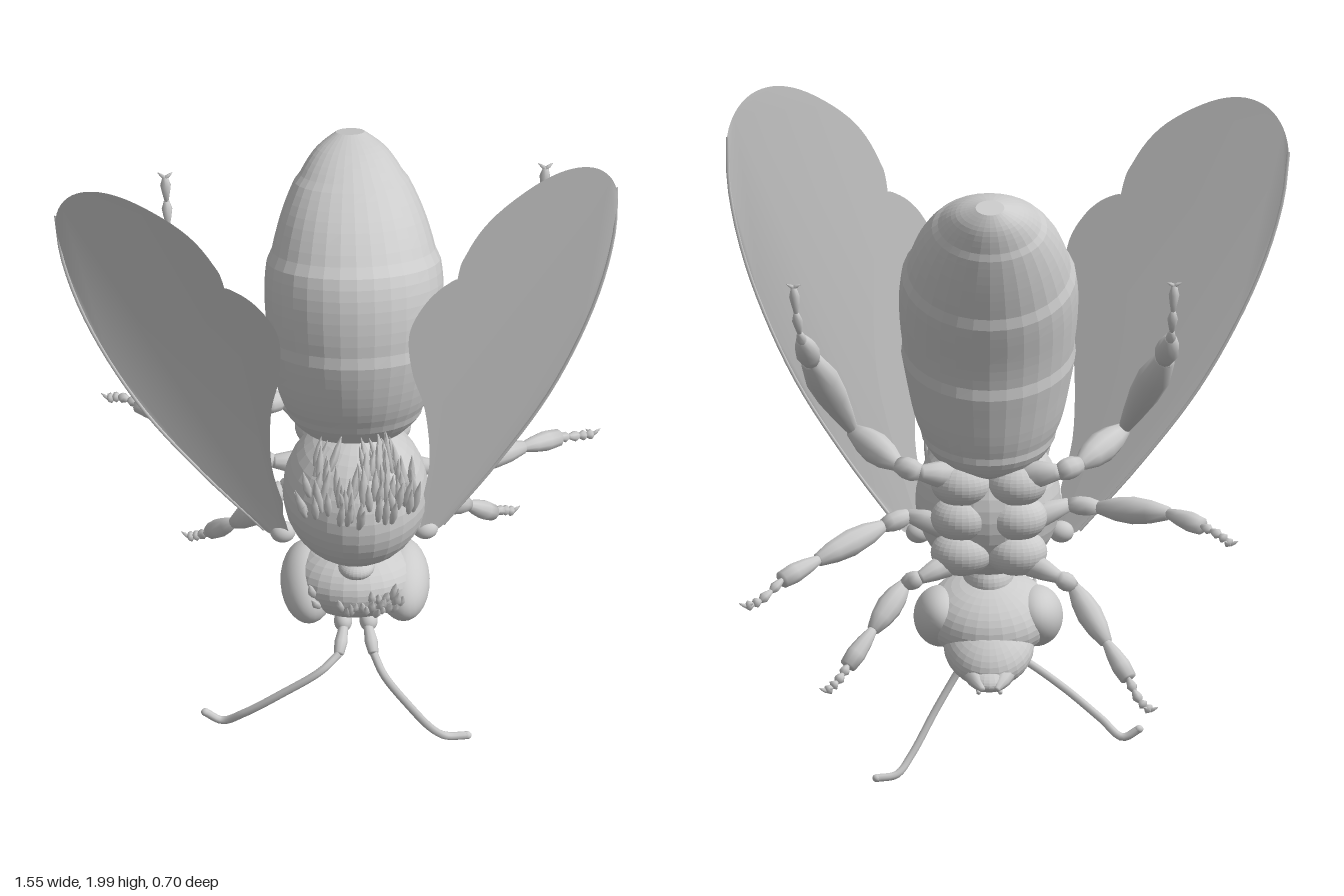
import * as THREE from 'three';

const V = (x, y, z) => new THREE.Vector3(x, y, z);
const CX = 0.06; // body midline
const mat = new THREE.MeshStandardMaterial({ color: 0xcccccc, flatShading: true });
const smooth = new THREE.MeshStandardMaterial({ color: 0xcccccc });
const thin = new THREE.MeshStandardMaterial({ color: 0xcccccc, side: THREE.DoubleSide });

function add(parent, name, geometry, material = mat) {
  const m = new THREE.Mesh(geometry, material);
  m.name = name;
  parent.add(m);
  return m;
}

function ellipsoid(parent, name, c, r, tilt = 0, material = mat) {
  const m = add(parent, name, new THREE.SphereGeometry(1, 28, 20), material);
  m.position.set(...c);
  m.scale.set(...r);
  m.rotation.x = tilt;
  return m;
}

// Closed skin over tilted rings; each ring is [front z, front y, back z, back y, half width]
function loft(rings, steps, sides, swell) {
  const front = new THREE.CatmullRomCurve3(rings.map(r => V(r[4], r[1], r[0])));
  const back = new THREE.CatmullRomCurve3(rings.map(r => V(r[4], r[3], r[2])));
  const pos = [], idx = [];
  for (let i = 0; i <= steps; i++) {
    const u = i / steps, f = front.getPoint(u), b = back.getPoint(u), k = swell(u);
    for (let j = 0; j < sides; j++) {
      const a = (j / sides) * Math.PI * 2, c = Math.cos(a) * k / 2;
      pos.push(CX + Math.sin(a) * f.x * k, (f.y + b.y) / 2 + c * (f.y - b.y), (f.z + b.z) / 2 + c * (f.z - b.z));
      if (i < steps) {
        const p = i * sides + j, q = i * sides + (j + 1) % sides;
        idx.push(p, q, q + sides, p, q + sides, p + sides);
      }
    }
  }
  // end caps
  for (let j = 1; j < sides - 1; j++) {
    const t = steps * sides;
    idx.push(0, j + 1, j, t, t + j, t + j + 1);
  }
  const g = new THREE.BufferGeometry();
  g.setAttribute('position', new THREE.Float32BufferAttribute(pos, 3));
  g.setIndex(idx);
  g.computeVertexNormals();
  return g;
}

// Spindle between two points, with radii along its length
function spindle(parent, name, a, b, radii, sides = 10) {
  const len = a.distanceTo(b), n = radii.length - 1;
  const pts = [new THREE.Vector2(0, 0), ...radii.map((r, i) => new THREE.Vector2(r, len * i / n)), new THREE.Vector2(0, len)];
  const m = add(parent, name, new THREE.LatheGeometry(pts, sides), smooth);
  m.position.copy(a);
  m.quaternion.setFromUnitVectors(V(0, 1, 0), b.clone().sub(a).normalize());
  return m;
}

// Leg through joints: coxa, trochanter, femur, tibia, then beaded foot with claws
function leg(parent, name, joints, thick) {
  const g = new THREE.Group();
  g.name = name;
  parent.add(g);
  const p = joints.map(j => V(...j));
  const profiles = [[0.7, 1, 0.8, 0.5], [0.5, 0.7, 0.7, 0.5], [0.45, 0.85, 1, 0.85, 0.5], [0.35, 0.6, 0.75, 0.65]];
  profiles.forEach((r, i) => spindle(g, ['coxa', 'trochanter', 'femur', 'tibia'][i], p[i], p[i + 1], r.map(k => k * thick)));
  const foot = new THREE.CatmullRomCurve3(p.slice(4));
  for (let i = 0; i < 4; i++) {
    spindle(g, 'footJoint', foot.getPoint(i / 4), foot.getPoint((i + 1) / 4), [0.006, 0.011, 0.015, 0.008], 7);
  }
  const end = p[p.length - 1];
  for (const s of [-1, 1]) spindle(g, 'claw', end, end.clone().add(V(s * 0.02, 0.012, -0.008)), [0.006, 0.005, 0.001], 5);
}

function outline(points) {
  const s = new THREE.Shape();
  s.moveTo(...points[0]);
  s.splineThru(points.slice(1).map(p => new THREE.Vector2(...p)));
  return s;
}

// Wing pair on one side; the trailing edge sweeps forward
const FORE = [[0.23, 0.72], [0.30, 0.74], [0.45, 0.95], [0.60, 1.20], [0.72, 1.50], [0.77, 1.73], [0.775, 1.88], [0.73, 1.97],
  [0.65, 2.0], [0.55, 1.97], [0.43, 1.88], [0.36, 1.77], [0.33, 1.65], [0.29, 1.2], [0.25, 0.85]];
const HIND = [[0.25, 0.74], [0.36, 1.15], [0.37, 1.5], [0.35, 1.66], [0.30, 1.66], [0.24, 1.60], [0.20, 1.50], [0.21, 1.35],
  [0.245, 1.20], [0.26, 1.0], [0.24, 0.85]];
function wing(parent, side) {
  const g = new THREE.Group();
  g.name = side > 0 ? 'leftWing' : 'rightWing';
  for (const [name, pts, lift] of [['forewing', FORE, 0], ['hindwing', HIND, -0.003]]) {
    const geo = new THREE.ShapeGeometry(outline(pts), 5);
    const p = geo.attributes.position;
    for (let i = 0; i < p.count; i++) {
      const x = p.getX(i) - 0.25, y = p.getY(i) - 0.72;
      const d = Math.max(0, -0.914 * (x - 0.05) + 0.405 * y);
      p.setXYZ(i, x, y, 0.135 + 0.38 * d + lift);
    }
    geo.computeVertexNormals();
    add(g, name, geo, thin);
  }
  // thick leading vein and hinge
  const vein = FORE.slice(1, 7).map(([x, y]) => V(x - 0.25, y - 0.72, 0.135));
  add(g, 'leadingVein', new THREE.TubeGeometry(new THREE.CatmullRomCurve3(vein), 24, 0.005, 6), smooth);
  ellipsoid(g, 'wingHinge', [0, 0.01, 0.14], [0.035, 0.03, 0.03], 0, smooth);
  const mirror = new THREE.Group();
  mirror.add(g);
  mirror.scale.x = side;
  if (side < 0) g.rotation.z = -0.088;
  mirror.position.set(side > 0 ? 0.25 : -0.14, 0.72, 0);
  parent.add(mirror);
}

// Overlapping flattened tufts on a rounded surface
function fur(parent, name, count, c, r, place, length) {
  let seed = 7;
  const rnd = () => (seed = (seed * 16807) % 2147483647) / 2147483647;
  for (let i = 0; i < count; i++) {
    const [a, e] = place(rnd(), rnd());
    const n = V(Math.sin(a) * Math.cos(e), Math.sin(e), Math.cos(a) * Math.cos(e));
    const root = V(c[0] + n.x * r[0], c[1] + n.y * r[1], c[2] + n.z * r[2]);
    const up = V(-Math.sin(a) * Math.sin(e), Math.cos(e), -Math.cos(a) * Math.sin(e));
    const tip = root.clone().addScaledVector(up, length * (0.7 + 0.5 * rnd())).addScaledVector(n, length * 0.35);
    tip.x += (rnd() - 0.5) * length * 0.4;
    spindle(parent, name, root, tip, [0.006, 0.012, 0.009, 0.001], 5);
  }
}

export function createModel() {
  const bee = new THREE.Group();
  bee.name = 'bee';

  // Abdomen with stepped plates
  const rings = [[0.12, 0.99, -0.07, 0.95, 0.09], [0.16, 1.04, -0.12, 0.98, 0.15], [0.22, 1.15, -0.15, 1.05, 0.2],
    [0.25, 1.3, -0.175, 1.17, 0.228], [0.245, 1.46, -0.2, 1.3, 0.245], [0.2, 1.6, -0.235, 1.42, 0.24],
    [0.1, 1.7, -0.268, 1.55, 0.205], [-0.02, 1.765, -0.288, 1.66, 0.155], [-0.13, 1.8, -0.295, 1.74, 0.1], [-0.22, 1.813, -0.283, 1.79, 0.04]];
  add(bee, 'abdomen', loft(rings, 40, 32, u => 0.985 + 0.035 * ((u * 5) % 1)));

  // Thorax, neck and underside plates
  const T = [CX, 0.84, 0.1], TR = [0.2, 0.21, 0.22];
  ellipsoid(bee, 'thorax', T, TR);
  ellipsoid(bee, 'waist', [CX, 1.01, 0.03], [0.12, 0.09, 0.11]);
  ellipsoid(bee, 'neck', [CX, 0.62, 0.08], [0.07, 0.07, 0.09]);
  ellipsoid(bee, 'collar', [CX, 0.62, 0.16], [0.05, 0.03, 0.05]);
  for (const s of [-1, 1]) {
    for (const y of [0.74, 0.84, 0.94]) ellipsoid(bee, 'breastPlate', [CX + s * 0.075, y, -0.06], [0.085, 0.065, 0.075]);
  }
  fur(bee, 'thoraxFur', 75, T, TR, (a, b) => [(a - 0.5) * 1.9, 0.1 + b * 0.75], 0.1);

  // Head, face and eyes
  const H = [CX, 0.52, 0.06], HR = [0.175, 0.11, 0.17];
  ellipsoid(bee, 'head', H, HR, -0.25);
  ellipsoid(bee, 'face', [CX, 0.46, -0.02], [0.125, 0.08, 0.15], -0.45);
  ellipsoid(bee, 'muzzle', [CX, 0.405, -0.07], [0.075, 0.04, 0.12], -0.15);
  for (const s of [-1, 1]) {
    ellipsoid(bee, 'eye', [CX + s * 0.13, 0.51, 0.075], [0.075, 0.085, 0.13], 0.3, smooth);
    ellipsoid(bee, 'antennaSocket', [CX + s * 0.035, 0.405, 0.12], [0.025, 0.03, 0.03], 0, smooth);
    spindle(bee, 'mandible', V(CX + s * 0.06, 0.42, -0.08), V(CX + s * 0.02, 0.385, -0.19), [0.02, 0.027, 0.022, 0.008]);
    spindle(bee, 'palp', V(CX + s * 0.02, 0.39, -0.06), V(CX + s * 0.03, 0.365, -0.16), [0.012, 0.014, 0.006], 7);
  }
  fur(bee, 'headFur', 26, H, HR, (a, b) => [(a - 0.5) * 1.5, -0.3 + b * 0.5], 0.05);

  // Antennae: a short stalk, then a long bent whip
  const antennae = [
    [[0.09, 0.41, 0.12], [0.105, 0.36, 0.21], [0.13, 0.31, 0.24], [0.2, 0.19, 0.225], [0.27, 0.07, 0.18], [0.31, 0.025, 0.15], [0.365, 0.018, 0.14]],
    [[0.03, 0.41, 0.12], [0.01, 0.36, 0.21], [-0.04, 0.325, 0.24], [-0.15, 0.245, 0.235], [-0.25, 0.165, 0.21], [-0.31, 0.12, 0.18], [-0.355, 0.145, 0.175]]];
  for (const path of antennae) {
    const p = path.map(q => V(...q));
    spindle(bee, 'antennaStalk', p[0], p[1], [0.012, 0.014, 0.018, 0.014]);
    add(bee, 'antenna', new THREE.TubeGeometry(new THREE.CatmullRomCurve3(p.slice(1)), 40, 0.011, 8), smooth);
    ellipsoid(bee, 'antennaTip', path[6], [0.012, 0.011, 0.011], 0, smooth);
  }

  wing(bee, 1);
  wing(bee, -1);

  // Legs
  leg(bee, 'leftFrontLeg', [[0.14, 0.72, -0.05], [0.25, 0.69, -0.13], [0.29, 0.66, -0.09], [0.38, 0.56, -0.19], [0.45, 0.48, -0.26], [0.48, 0.45, -0.31], [0.51, 0.43, -0.33]], 0.036);
  leg(bee, 'rightFrontLeg', [[-0.02, 0.72, -0.05], [-0.13, 0.69, -0.13], [-0.17, 0.65, -0.09], [-0.26, 0.52, -0.19], [-0.32, 0.44, -0.26], [-0.35, 0.39, -0.31], [-0.38, 0.37, -0.33]], 0.036);
  leg(bee, 'leftMiddleLeg', [[0.14, 0.8, -0.05], [0.28, 0.83, -0.01], [0.35, 0.81, -0.04], [0.53, 0.76, -0.18], [0.63, 0.73, -0.26], [0.69, 0.69, -0.32], [0.73, 0.68, -0.34]], 0.038);
  leg(bee, 'rightMiddleLeg', [[-0.02, 0.82, -0.05], [-0.16, 0.86, -0.01], [-0.24, 0.86, -0.04], [-0.43, 0.89, -0.18], [-0.52, 0.88, -0.26], [-0.57, 0.87, -0.31], [-0.6, 0.85, -0.33]], 0.038);
  for (const s of [-1, 1]) {
    const hip = [[0.06, 0.95, -0.04], [0.19, 0.99, -0.12], [0.25, 1.0, -0.08], [0.37, 1.04, 0.09]].map(([x, y, z]) => [CX + s * x, y, z]);
    const x = s > 0 ? [0.55, 0.575, 0.59, 0.6] : [-0.42, -0.435, -0.44, -0.445];
    const name = s > 0 ? 'leftHindLeg' : 'rightHindLeg';
    leg(bee, name, [...hip, [x[0], 1.34, -0.19], [x[1], 1.42, -0.28], [x[2], 1.5, -0.32], [x[3], 1.6, -0.33]], 0.044);
    // broad hind shin and basket segment
    spindle(bee, 'hindShin', V(...hip[3]), V(x[0], 1.34, -0.19), [0.015, 0.03, 0.042, 0.046, 0.03]);
    spindle(bee, 'hindFootPlate', V(x[0], 1.34, -0.19), V(x[1], 1.43, -0.28), [0.024, 0.034, 0.03, 0.018]);
  }
  return bee;
}
